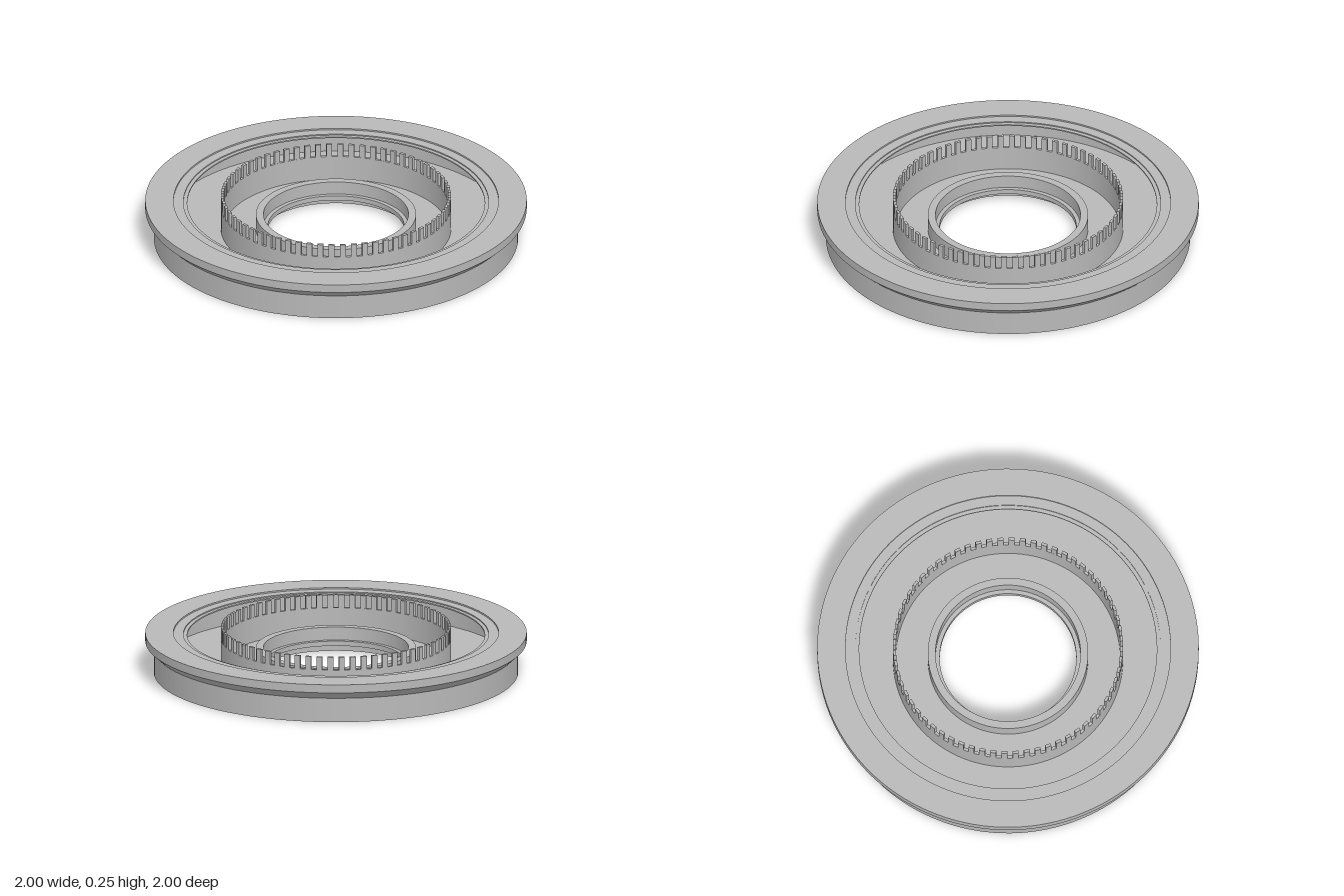
import * as THREE from 'three';
import { mergeGeometries } from 'three/addons/utils/BufferGeometryUtils.js';

const SEGMENTS = 128;

// Revolve a closed [radius, height] loop, keeping every corner sharp
function turned(profile) {
  const bands = profile.map((p, i) => {
    const q = profile[(i + 1) % profile.length];
    return new THREE.LatheGeometry([new THREE.Vector2(...p), new THREE.Vector2(...q)], SEGMENTS);
  });
  return mergeGeometries(bands);
}

export function createModel() {
  const metal = new THREE.MeshStandardMaterial({ color: 0xb8b8b8 });
  metal.name = 'grey metal';

  const model = new THREE.Group();
  model.name = 'toothedRingHousing';
  const add = (name, geometry, parent = model) => {
    const mesh = new THREE.Mesh(geometry, metal);
    mesh.name = name;
    parent.add(mesh);
    return mesh;
  };

  // Dish with flared rim, overhanging lip, sunken floor and stepped centre hub
  add('housing', turned([
    [0.405, 0], [0.955, 0], [0.955, 0.13], [1, 0.172], [1, 0.216],
    [0.852, 0.216], [0.852, 0.208], [0.8, 0.208], [0.8, 0.202], [0.78, 0.202],
    [0.78, 0.195], [0.92, 0.195], [0.92, 0.05],
    [0.42, 0.05], [0.42, 0.136], [0.38, 0.136], [0.38, 0.066],
    [0.358, 0.066], [0.358, 0.04], [0.405, 0.04],
  ]));

  // Thin upright ring standing on the floor
  const inner = 0.588, outer = 0.603, ringTop = 0.182, toothTop = 0.252;
  add('toothRing', turned([[inner, 0.05], [outer, 0.05], [outer, ringTop], [inner, ringTop]]));

  // Teeth around the ring, with a gap on each axis
  const count = 64, pitch = (Math.PI * 2) / count, half = pitch * 0.26;
  const shape = new THREE.Shape();
  shape.absarc(0, 0, outer, -half, half, false);
  shape.absarc(0, 0, inner, half, -half, true);
  const toothGeometry = new THREE.ExtrudeGeometry(shape, {
    depth: toothTop - ringTop, bevelEnabled: false, curveSegments: 2,
  });
  toothGeometry.rotateX(-Math.PI / 2).translate(0, ringTop, 0);
  const teeth = new THREE.Group();
  teeth.name = 'teeth';
  model.add(teeth);
  for (let i = 0; i < count; i++) {
    add('tooth', toothGeometry, teeth).rotation.y = (i + 0.5) * pitch;
  }

  return model;
}
